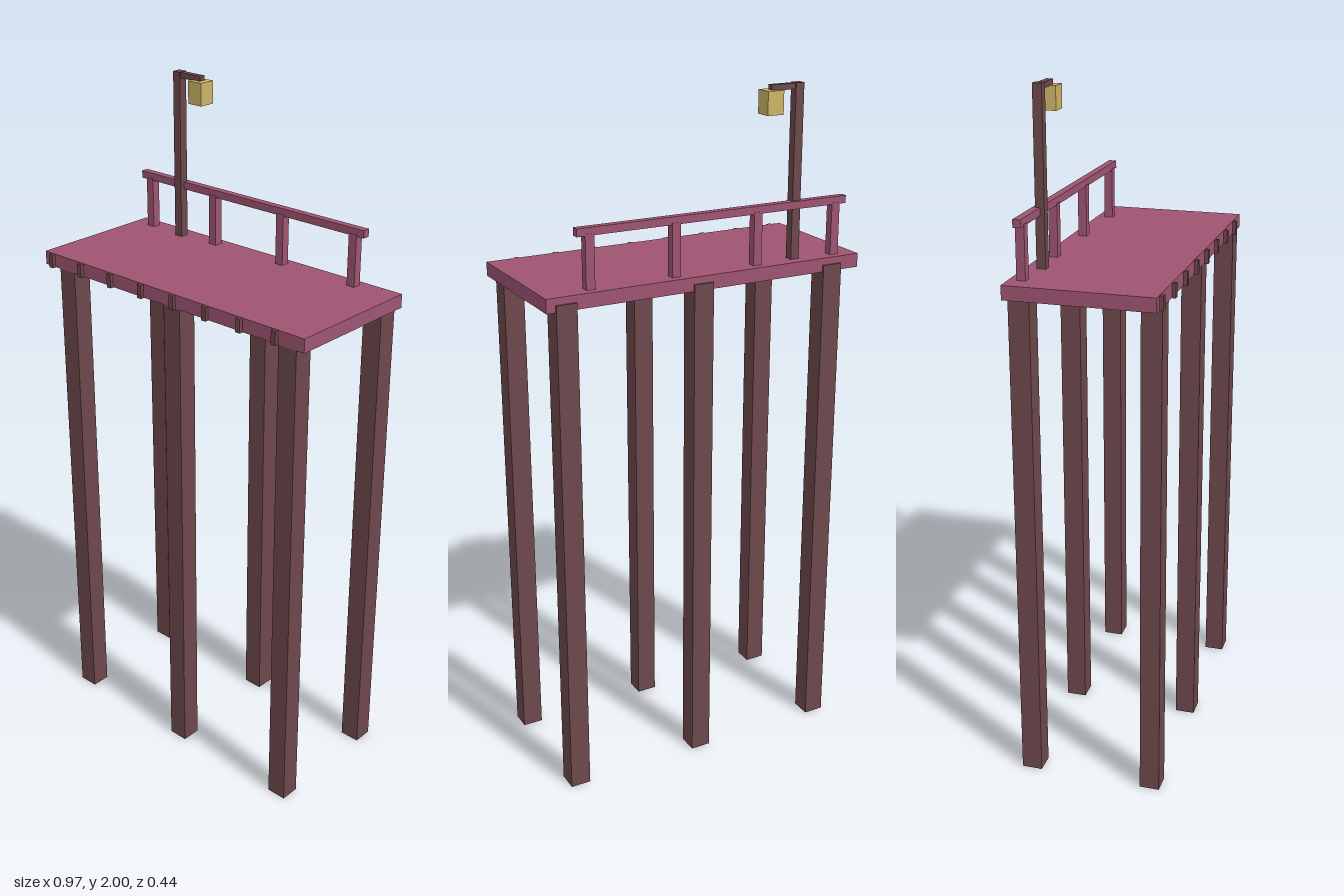
import * as THREE from 'three';

const material = (name, color) => {
  const m = new THREE.MeshStandardMaterial({ color });
  m.name = name;
  return m;
};

export function createModel() {
  const model = new THREE.Group();
  model.name = 'pierWithLamp';
  const deckPaint = material('rose wood', 0x9e5472);
  const darkWood = material('dark brown wood', 0x6d484c);
  const lampGlow = material('lamp yellow', 0xcdb469);

  // Box given by its minimum and maximum on each axis
  const box = (name, mat, [x0, x1], [y0, y1], [z0, z1]) => {
    const mesh = new THREE.Mesh(new THREE.BoxGeometry(x1 - x0, y1 - y0, z1 - z0), mat);
    mesh.position.set((x0 + x1) / 2, (y0 + y1) / 2, (z0 + z1) / 2);
    mesh.name = name;
    model.add(mesh);
  };
  const around = (c, size) => [c - size / 2, c + size / 2];

  // Deck
  box('deck', deckPaint, [-0.488, 0.486], [1.47, 1.51], [-0.214, 0.204]);

  // Six stilts, the back row standing slightly proud of the deck
  for (const x of [-0.398, 0.021, 0.43]) {
    box('frontLeg', darkWood, around(x, 0.06), [0, 1.49], around(0.174, 0.058));
    box('backLeg', darkWood, around(x, 0.06), [0, 1.49], around(-0.19, 0.06));
  }

  // Small battens along the front edge
  for (let i = 0; i < 8; i++) {
    box('frontBatten', darkWood, around(-0.455 + i * 0.121, 0.015), [1.469, 1.509], [0.195, 0.215]);
  }

  // Back railing
  box('handrail', deckPaint, [-0.455, 0.383], [1.655, 1.677], around(-0.178, 0.022));
  for (let i = 0; i < 4; i++) {
    box('railPost', deckPaint, around(-0.421 + i * 0.256, 0.026), [1.5, 1.66], around(-0.178, 0.025));
  }

  // Lamp post, arm and lantern
  box('lampPost', darkWood, around(-0.294, 0.026), [1.5, 2], around(-0.168, 0.026));
  box('lampArm', darkWood, [-0.294, -0.206], [1.983, 1.999], around(-0.168, 0.018));
  box('lantern', lampGlow, around(-0.211, 0.05), [1.92, 1.985], around(-0.167, 0.05));

  return model;
}
